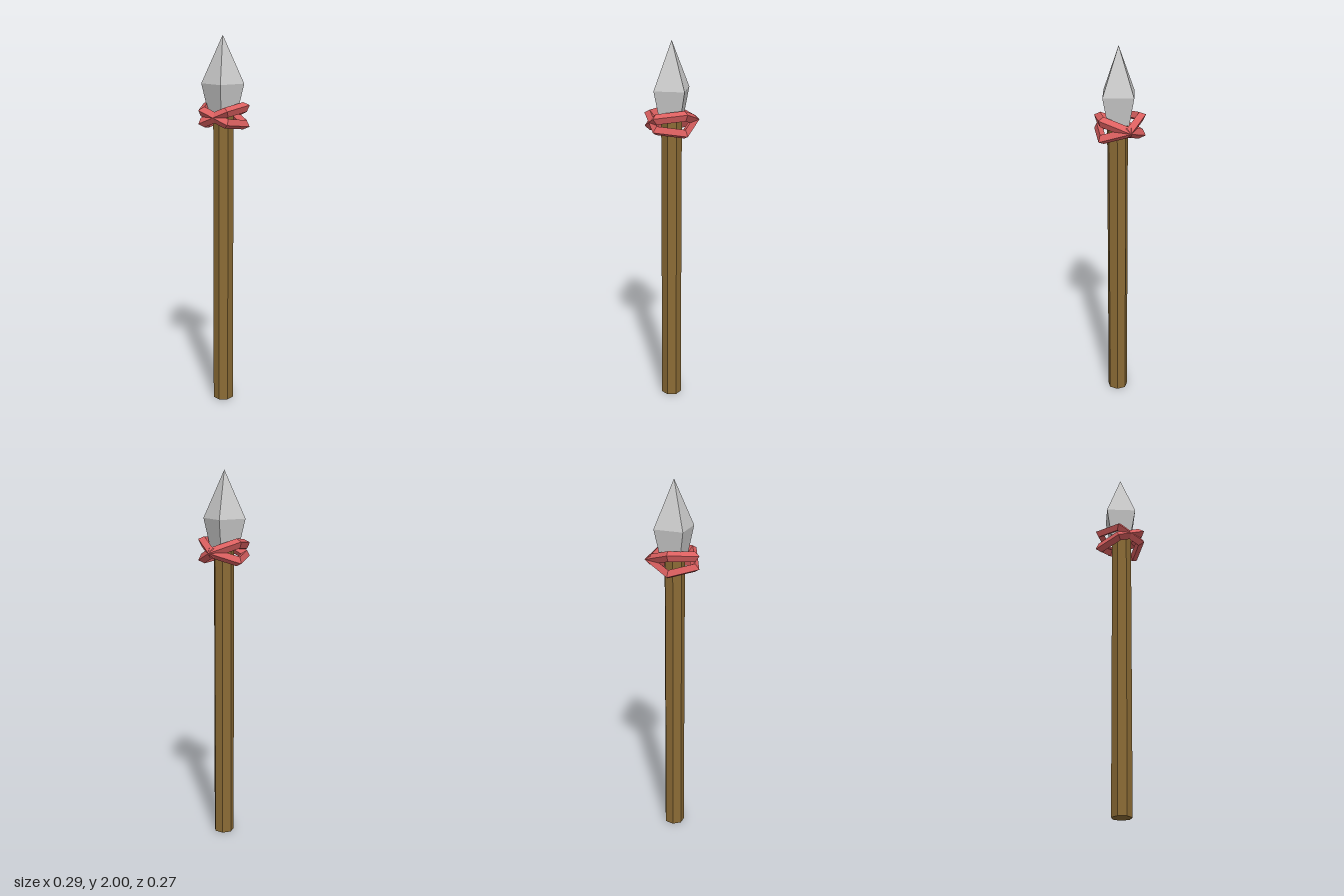
import * as THREE from 'three';

function part(name, geometry, color) {
  const material = new THREE.MeshStandardMaterial({ color, flatShading: true });
  const mesh = new THREE.Mesh(geometry, material);
  mesh.name = name;
  return mesh;
}

export function createModel() {
  const model = new THREE.Group();
  model.name = 'spear';

  // Seven-sided wooden shaft with one edge towards +x
  const shaftHeight = 1.62;
  const shaft = part('shaft', new THREE.CylinderGeometry(0.055, 0.055, shaftHeight, 7).rotateY(Math.PI / 2), 0x8b6b35);
  shaft.position.set(0.005, shaftHeight / 2, 0.009);
  model.add(shaft);

  // Four-sided spearhead: narrow base, wide shoulder, sharp tip
  const profile = [[0, 1.6], [0.055, 1.6], [0.08, 1.75], [0, 2]]
    .map(([halfWidth, y]) => new THREE.Vector2(halfWidth * Math.SQRT2, y));
  const head = part('spearhead', new THREE.LatheGeometry(profile, 4, Math.PI / 4), 0xcccccc);
  head.position.set(0.005, 0, 0.003);
  model.add(head);

  // Two five-sided binding rings, tilted opposite ways about a shared corner
  const tilt = THREE.MathUtils.degToRad(23);
  for (const [name, side] of [['bindingRingFront', 1], ['bindingRingBack', -1]]) {
    const geometry = new THREE.TorusGeometry(0.126, 0.027, 4, 5)
      .rotateX(Math.PI / 2 + side * tilt)
      .rotateY(THREE.MathUtils.degToRad(26));
    const ring = part(name, geometry, 0xdc6060);
    ring.position.set(0.005, 1.582, 0.004);
    model.add(ring);
  }

  return model;
}
